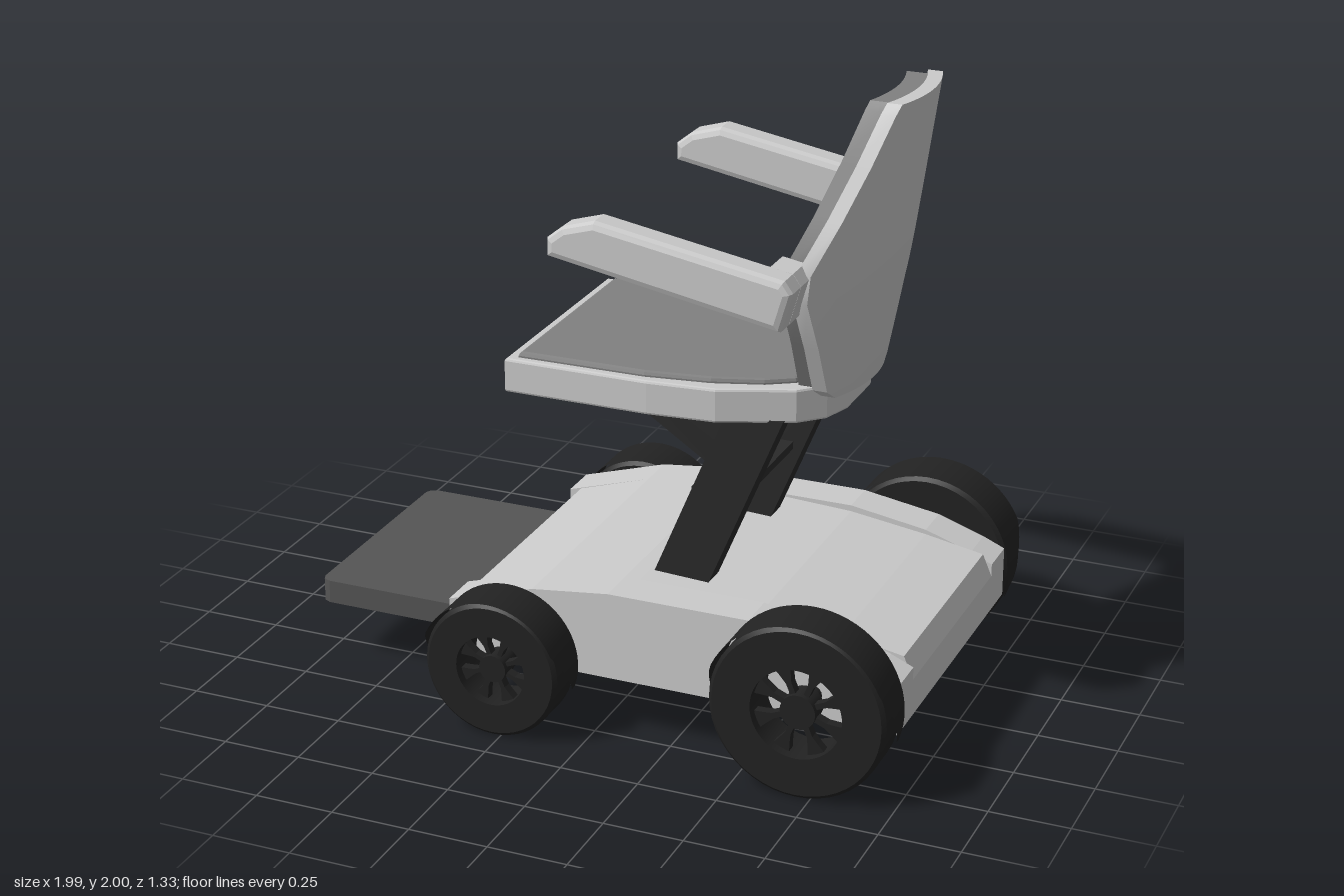
import * as THREE from 'three';
import { toCreasedNormals } from 'three/addons/utils/BufferGeometryUtils.js';

const mat = (color) => new THREE.MeshStandardMaterial({ color, side: THREE.DoubleSide });
const LIGHT = mat(0xcccccc), CUSHION = mat(0x808080), PLATE = mat(0x555555), DARK = mat(0x2a2a2a), TYRE = mat(0x222222);

function add(parent, name, geometry, material) {
  const mesh = new THREE.Mesh(geometry, material);
  mesh.name = name;
  parent.add(mesh);
  return mesh;
}

const shapeOf = (pts) => new THREE.Shape(pts.map(([x, y]) => new THREE.Vector2(x, y)));

// Side outline (x, y) extruded from z0 to z1
function slab(pts, z0, z1, bevel = 0) {
  const g = new THREE.ExtrudeGeometry(shapeOf(pts), {
    depth: z1 - z0 - 2 * bevel, bevelEnabled: bevel > 0, bevelSize: bevel,
    bevelThickness: bevel, bevelOffset: -bevel, bevelSegments: 2,
  });
  return g.translate(0, 0, z0 + bevel);
}

// Plan outline (x, z), symmetric in z, extruded from y0 to y1
function plan(half, y0, y1, bevel = 0) {
  const pts = [...half.map(([x, z]) => [x, -z]), ...half.slice().reverse()];
  return slab(pts, y0, y1, bevel).rotateX(-Math.PI / 2);
}

// Linear lookup in rows of [y, value, value]
function lookup(rows, y, k) {
  for (let i = 1; i < rows.length; i++) {
    if (y <= rows[i][0] + 1e-6) {
      const t = (y - rows[i - 1][0]) / (rows[i][0] - rows[i - 1][0]);
      return THREE.MathUtils.lerp(rows[i - 1][k], rows[i][k], t);
    }
  }
  return rows[rows.length - 1][k];
}

// Backrest layer: closed rings wrapped around the sitter, stacked in y
function backLayer(offFront, offBack, inset, y0, y1) {
  const rows = [[1.1, 0.22, 0.70], [1.13, 0.26, 0.708], [1.44, 0.385, 0.768], [1.53, 0.39, 0.783], [1.97, 0.20, 0.846], [2.0, 0.18, 0.85]];
  const levels = [y0, ...rows.map((r) => r[0]).filter((y) => y > y0 && y < y1), 1.28, 1.68, 1.83, y1].sort((a, b) => a - b);
  const N = 14, ring = 2 * (N + 1), pos = [], idx = [];
  for (const y of levels) {
    const w = lookup(rows, y, 1) - inset, xc = lookup(rows, y, 2);
    for (let i = 0; i < ring; i++) {
      const front = i <= N;
      const z = w * (front ? -1 + 2 * i / N : 1 - 2 * (i - N - 1) / N);
      pos.push(xc - z * z - (front ? offFront : offBack), y, z);
    }
  }
  for (let j = 0; j < levels.length - 1; j++) {
    for (let i = 0; i < ring; i++) {
      const a = j * ring + i, b = j * ring + (i + 1) % ring;
      idx.push(a, b, b + ring, a, b + ring, a + ring);
    }
  }
  const top = (levels.length - 1) * ring;
  for (let i = 0; i < N; i++) {
    const c = ring - 2 - i, d = ring - 1 - i;
    idx.push(top + i, top + i + 1, top + c, top + i, top + c, top + d);
    idx.push(i, c, i + 1, i, d, c);
  }
  const g = new THREE.BufferGeometry();
  g.setAttribute('position', new THREE.Float32BufferAttribute(pos, 3));
  g.setIndex(idx);
  return toCreasedNormals(g, 0.5);
}

// Thin mudguard arc, tapering to its lower ends
function fender(R) {
  const pos = [], idx = [], N = 40;
  for (let i = 0; i <= N; i++) {
    const a = -0.33 + (Math.PI + 0.66) * i / N;
    const w = 0.02 + 0.135 * THREE.MathUtils.clamp((Math.sin(a) + 0.33) / 0.73, 0, 1);
    const x = R * Math.cos(a), y = R * Math.sin(a);
    pos.push(x, y, -0.07, x, y, -0.07 + w);
    if (i < N) idx.push(2 * i, 2 * i + 2, 2 * i + 1, 2 * i + 1, 2 * i + 2, 2 * i + 3);
  }
  const g = new THREE.BufferGeometry();
  g.setAttribute('position', new THREE.Float32BufferAttribute(pos, 3));
  g.setIndex(idx);
  g.computeVertexNormals();
  return g;
}

// Open spoked wheel, axle along z, outer face towards +z
function wheel(R, name) {
  const g = new THREE.Group();
  g.name = name;
  const ri = R * 0.52;
  const profile = [[ri, -0.07], [R - 0.012, -0.07], [R, -0.058], [R, 0.058], [R - 0.012, 0.07], [ri, 0.07], [ri, -0.07]];
  const tyre = new THREE.LatheGeometry(profile.map(([r, y]) => new THREE.Vector2(r, y)), 48);
  add(g, 'tyre', toCreasedNormals(tyre.rotateX(Math.PI / 2), 0.6), TYRE);
  add(g, 'hub', new THREE.CylinderGeometry(R * 0.2, R * 0.2, 0.07, 24).rotateX(Math.PI / 2).translate(0, 0, 0.02), TYRE);
  add(g, 'axle', new THREE.CylinderGeometry(0.03, 0.03, 0.12, 16).rotateX(Math.PI / 2).translate(0, 0, -0.05), TYRE);
  const u = R / 0.28;
  const outline = [[0.04, -0.009], [0.09, -0.009], [0.118, -0.018], [0.15, -0.03], [0.15, 0.03], [0.118, 0.018], [0.09, 0.009], [0.04, 0.009]];
  for (let i = 0; i < 8; i++) {
    const spoke = add(g, 'spoke', slab(outline.map(([x, y]) => [x * u, y * u]), 0.01, 0.04), TYRE);
    spoke.rotation.z = (i + 0.5) * Math.PI / 4;
  }
  add(g, 'fender', fender(R + 0.01), TYRE);
  return g;
}

export function createModel() {
  const model = new THREE.Group();
  model.name = 'mobilityChair';

  // Chassis: lowered centre deck between two arched side rails
  add(model, 'deck', slab([[-0.48, 0.2], [0.97, 0.2], [0.97, 0.32], [0.94, 0.39], [0.75, 0.425], [0.5, 0.46], [0.1, 0.48],
    [0.05, 0.48], [-0.2, 0.45], [-0.44, 0.375], [-0.44, 0.28], [-0.48, 0.27]], -0.38, 0.38), LIGHT);
  const rail = [[-0.48, 0.2], [0.97, 0.2], [0.97, 0.36], [0.9, 0.39], [0.75, 0.44], [0.5, 0.48], [0.05, 0.48], [-0.2, 0.45], [-0.48, 0.365]];
  add(model, 'leftRail', slab(rail, 0.38, 0.51), LIGHT);
  add(model, 'rightRail', slab(rail, -0.51, -0.38), LIGHT);

  // Footplate with rounded front corners
  add(model, 'footplate', plan([[-1, 0.35], [-0.992, 0.37], [-0.97, 0.38], [-0.5, 0.38], [-0.48, 0.36]], 0.2, 0.275), PLATE);

  // Wheels
  for (const side of [1, -1]) {
    for (const [x, R, name] of [[-0.277, 0.218, 'frontWheel'], [0.705, 0.275, 'rearWheel']]) {
      const w = wheel(R, name);
      w.position.set(x, R + 0.005, side * 0.58);
      w.scale.z = side;
      model.add(w);
    }
  }

  // Seat supports
  for (const z of [-0.3, 0.22]) {
    add(model, 'seatPost', slab([[0.08, 0.4], [0.26, 0.4], [0.52, 1.03], [0.34, 1.03]], z, z + 0.08), DARK);
  }
  add(model, 'crossbar', slab([[0.2, 0.715], [0.36, 0.715], [0.36, 0.74], [0.2, 0.74]], -0.22, 0.22), DARK);
  add(model, 'brace', slab([[-0.2, 1.03], [-0.08, 1.03], [0.3, 0.8], [0.3, 0.73], [0.24, 0.74]], -0.095, 0.095), DARK);

  // Seat pan and cushion
  add(model, 'seatPan', plan([[-0.34, 0.38], [0.12, 0.38], [0.33, 0.36], [0.55, 0.27], [0.62, 0.2], [0.65, 0.1]], 1.02, 1.128, 0.008), LIGHT);
  add(model, 'seatCushion', plan([[-0.305, 0.355], [0.1, 0.35], [0.3, 0.32], [0.45, 0.27], [0.53, 0.22], [0.58, 0.13], [0.6, 0.04]], 1.1, 1.145, 0.012), CUSHION);

  // Backrest
  add(model, 'backShell', backLayer(0.045, 0, 0, 1.1, 2.0), LIGHT);
  add(model, 'backCushion', backLayer(0.11, 0.045, 0.025, 1.125, 1.995), CUSHION);

  // Armrests and the brackets joining them to the shell
  const arm = [[-0.13, 1.53], [0.59, 1.40], [0.625, 1.52], [0.6, 1.555], [0.02, 1.655], [-0.08, 1.625], [-0.13, 1.585]];
  const bracket = [[0.53, 1.42], [0.59, 1.40], [0.625, 1.52], [0.6, 1.555], [0.53, 1.565]];
  for (const side of [1, -1]) {
    const g = new THREE.Group();
    g.name = side > 0 ? 'leftArm' : 'rightArm';
    add(g, 'armrest', slab(arm, 0.43, 0.535, 0.022), LIGHT);
    add(g, 'armBracket', slab(bracket, 0.35, 0.45), LIGHT);
    g.scale.z = side;
    model.add(g);
  }
  return model;
}
